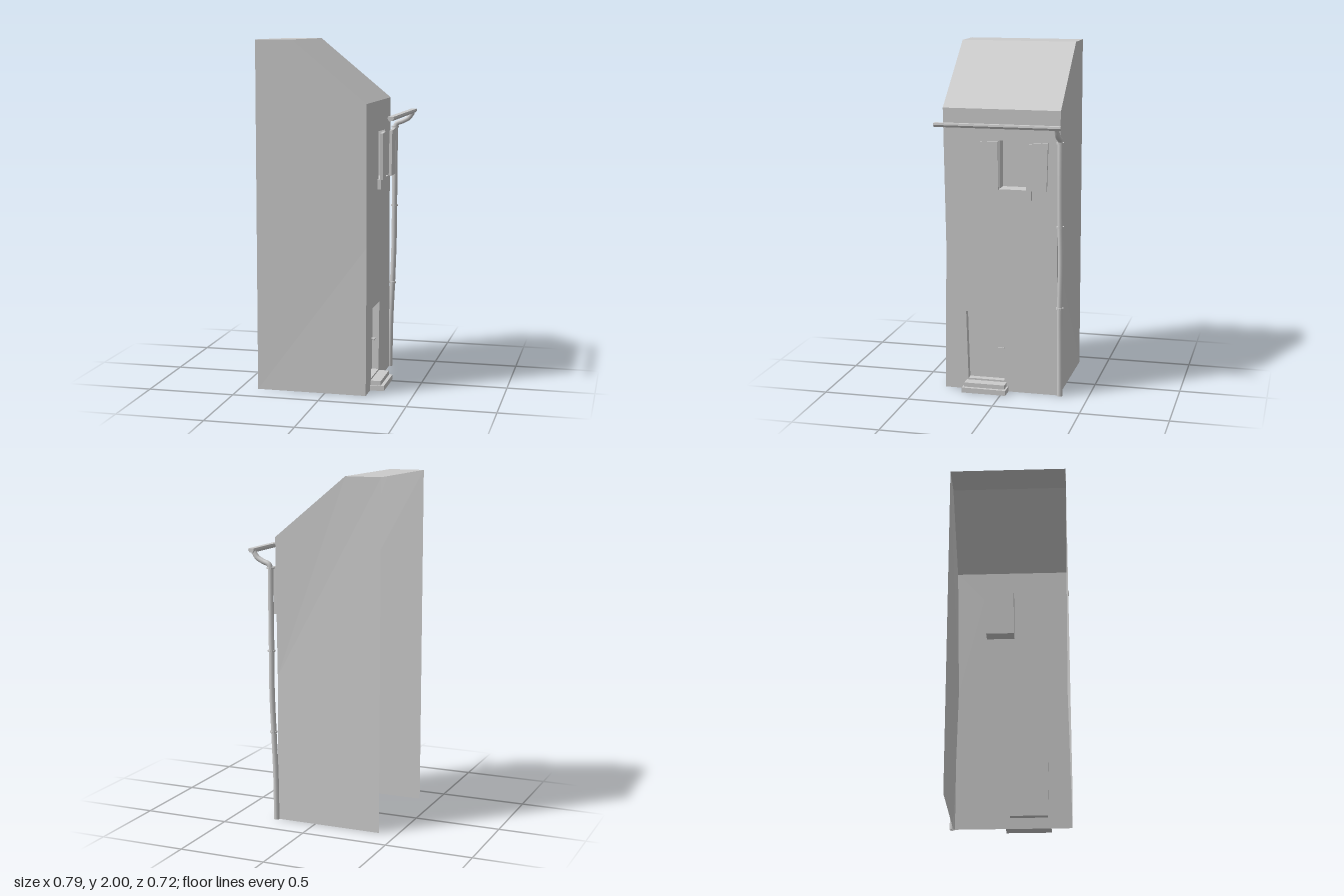
import * as THREE from 'three';

const material = new THREE.MeshStandardMaterial({ color: 0xcccccc, flatShading: true, side: THREE.DoubleSide });
const smooth = new THREE.MeshStandardMaterial({ color: 0xcccccc, side: THREE.DoubleSide });

const WALL_X = 0.24;   // plane of the street facade, which looks along +x
const NEAR = 0.35, FAR = -0.33, BEND_Y = 0.85;

export function createModel() {
  const group = new THREE.Group();

  function add(name, geometry, mat = material) {
    const mesh = new THREE.Mesh(geometry, mat);
    mesh.name = name;
    group.add(mesh);
    return mesh;
  }

  // Outlines on the facade are lists of [z, y]; shapes use -z as their x
  const outline = (pts) => pts.map(([z, y]) => new THREE.Vector2(-z, y));

  // Flat slab between two x planes
  function slab(name, pts, x0, x1) {
    const g = new THREE.ExtrudeGeometry(new THREE.Shape(outline(pts)), { depth: x1 - x0, bevelEnabled: false });
    return add(name, g.rotateY(Math.PI / 2).translate(x0, 0, 0));
  }
  const rect = (z0, z1, y0, y1) => [[z0, y0], [z1, y0], [z1, y1], [z0, y1]];

  // Planar fan around the first point
  function fan(name, pts) {
    const g = new THREE.BufferGeometry();
    g.setAttribute('position', new THREE.Float32BufferAttribute(pts.flat(), 3));
    const index = [];
    for (let i = 1; i < pts.length - 1; i++) index.push(0, i, i + 1);
    g.setIndex(index);
    const flat = g.toNonIndexed();
    flat.computeVertexNormals();
    return add(name, flat);
  }

  // Slightly crooked openings
  const door = [[0.21, 0.065], [-0.005, 0.065], [-0.022, 0.47], [0.222, 0.47]];
  const win = [[0.02, 1.2], [-0.147, 1.2], [-0.165, 1.47], [0.02, 1.475]];

  // Facade with bent edges and holes for the openings
  const wall = new THREE.Shape(outline([
    [NEAR, 0], [FAR, 0], [FAR + 0.018, BEND_Y], [FAR, 1.65], [NEAR, 1.65], [NEAR - 0.013, BEND_Y],
  ]));
  for (const hole of [door, win]) wall.holes.push(new THREE.Path(outline(hole)));
  add('facade', new THREE.ShapeGeometry(wall).rotateY(Math.PI / 2).translate(WALL_X, 0, 0));

  // Recesses: reveals around each opening and a panel at the back
  function recess(name, pts, depth) {
    const back = WALL_X - depth;
    pts.forEach(([z, y], i) => {
      const [z2, y2] = pts[(i + 1) % pts.length];
      fan(name + 'Reveal', [[WALL_X, y, z], [back, y, z], [back, y2, z2], [WALL_X, y2, z2]]);
    });
    fan(name + 'Panel', pts.map(([z, y]) => [back, y, z]));
  }
  recess('door', door, 0.04);
  recess('window', win, 0.08);

  // Side walls; the house is open at the back and underneath
  for (const [name, z, inset] of [['leftSideWall', NEAR, -0.013], ['rightSideWall', FAR, 0.018]]) {
    const pts = [
      [WALL_X, BEND_Y, z + inset], [WALL_X, 1.65, z], [-0.185, 2, z],
      [-0.395, 2, z], [-0.395, 0, z], [WALL_X, 0, z],
    ];
    fan(name, z > 0 ? pts : [pts[0], ...pts.slice(1).reverse()]);
  }

  // Roof
  fan('roofSlope', [[WALL_X, 1.65, NEAR], [WALL_X, 1.65, FAR], [-0.185, 2, FAR], [-0.185, 2, NEAR]]);
  fan('roofTop', [[-0.185, 2, NEAR], [-0.185, 2, FAR], [-0.395, 2, FAR], [-0.395, 2, NEAR]]);

  // Door steps
  slab('lowerStep', rect(0.23, -0.03, 0, 0.03), WALL_X, 0.32);
  slab('upperStep', rect(0.22, -0.02, 0.03, 0.055), WALL_X, 0.3);

  // Door handle: stem, knob plate and lever
  const stem = new THREE.CylinderGeometry(0.006, 0.006, 0.02, 8).rotateZ(Math.PI / 2);
  add('doorHandleStem', stem.translate(0.21, 0.25, 0.008), smooth);
  slab('doorHandleLever', rect(0.04, 0.002, 0.247, 0.255), 0.216, 0.222);

  // Window sill and open shutters
  slab('windowSill', rect(0.045, -0.167, 1.14, 1.2), WALL_X, 0.26);
  slab('leftShutter', [[0.105, 1.205], [0.018, 1.2], [0.02, 1.475], [0.122, 1.47]], 0.268, 0.285);
  slab('rightShutter', [[-0.142, 1.2], [-0.26, 1.2], [-0.267, 1.475], [-0.157, 1.465]], 0.268, 0.285);

  // Gutter with a chamfered underside
  const gutter = new THREE.Shape([
    [0.36, 1.572], [0.367, 1.558], [0.386, 1.56], [0.395, 1.572], [0.393, 1.583], [0.361, 1.583],
  ].map(([x, y]) => new THREE.Vector2(x, y)));
  add('gutter', new THREE.ExtrudeGeometry(gutter, { depth: 0.72, bevelEnabled: false }).translate(0, 0, -0.36));

  // Crooked downpipe
  const downpipe = new THREE.CatmullRomCurve3([
    [0.243, 0, -0.336], [0.247, 0.28, -0.335], [0.257, 0.525, -0.335], [0.264, 0.78, -0.34],
    [0.266, 1, -0.336], [0.268, 1.25, -0.334], [0.268, 1.475, -0.334],
  ].map((p) => new THREE.Vector3(...p)));
  add('downpipe', new THREE.TubeGeometry(downpipe, 24, 0.016, 10), smooth);

  // Elbow joining the downpipe to the gutter
  const elbow = new THREE.CatmullRomCurve3([
    [0.268, 1.47, -0.334], [0.279, 1.495, -0.334], [0.315, 1.51, -0.334],
    [0.35, 1.53, -0.334], [0.375, 1.565, -0.334],
  ].map((p) => new THREE.Vector3(...p)));
  add('elbow', new THREE.TubeGeometry(elbow, 20, 0.015, 10), smooth);

  // Pipe collars
  for (const [x, y, z] of [[0.268, 1.475, -0.334], [0.266, 1, -0.336], [0.257, 0.525, -0.335]]) {
    add('pipeCollar', new THREE.CylinderGeometry(0.022, 0.022, 0.01, 12).translate(x, y, z));
  }

  return group;
}
